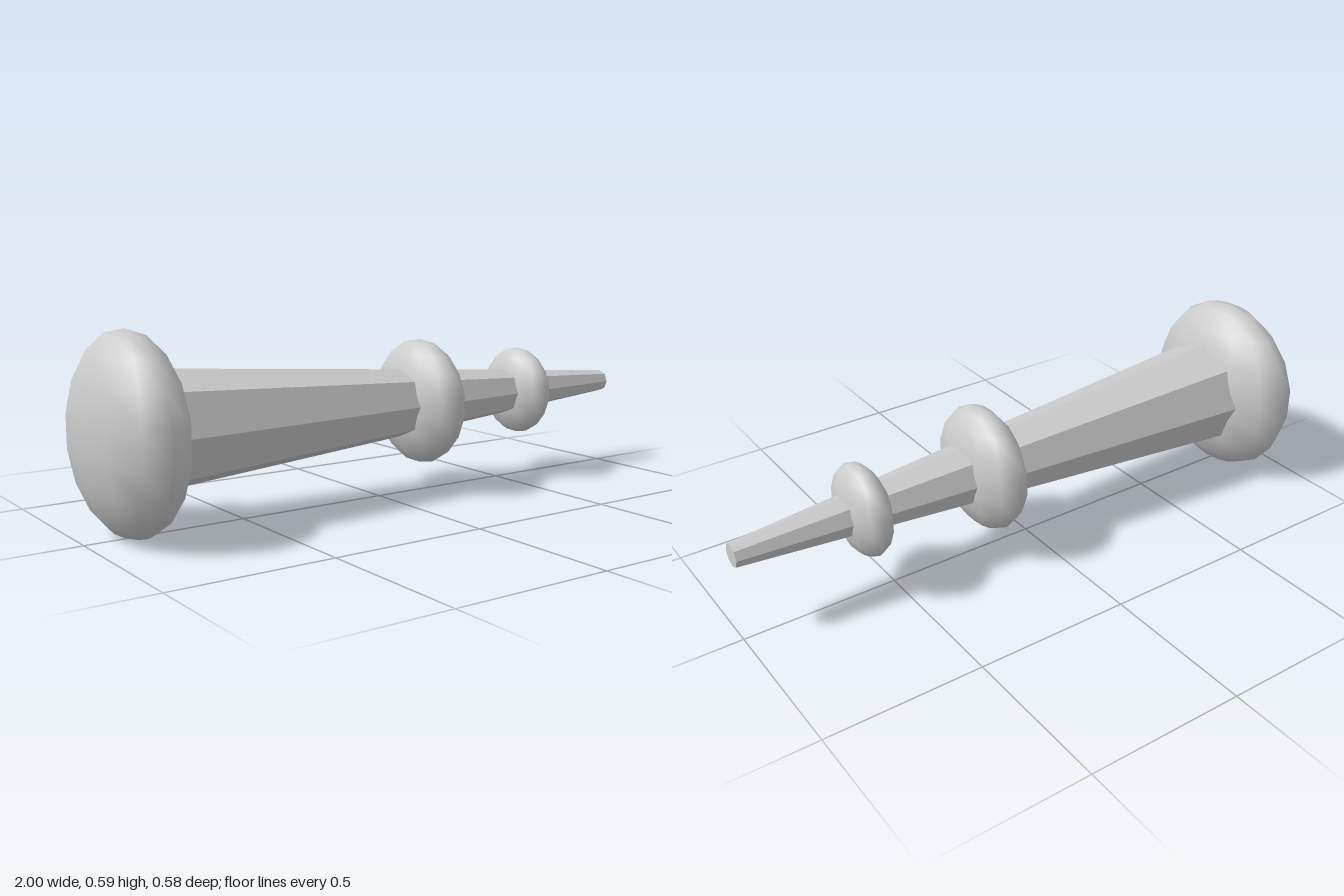
import * as THREE from 'three';

export function createModel() {
  const group = new THREE.Group();
  const axisY = 0.298;
  const smooth = new THREE.MeshStandardMaterial({ color: 0xcccccc });
  const faceted = new THREE.MeshStandardMaterial({ color: 0xcccccc, flatShading: true });

  const add = (name, geometry, material, x) => {
    const mesh = new THREE.Mesh(geometry, material);
    mesh.name = name;
    mesh.position.set(x, axisY, 0);
    group.add(mesh);
  };

  // Eight-sided shaft tapering to a blunt tip; its wide end sits inside the knob
  const start = -0.86, end = 1;
  const shaft = new THREE.CylinderGeometry(0.037, 0.185, end - start, 8);
  shaft.rotateZ(-Math.PI / 2);
  add('taperedShaft', shaft, faceted, (start + end) / 2);

  // Flattened spheres threaded on the shaft: name, centre x, radius
  const beads = [
    ['endKnob', -0.86, 0.2965],
    ['largeCollar', 0.163, 0.2035],
    ['smallCollar', 0.59, 0.1475],
  ];
  for (const [name, x, radius] of beads) {
    const bead = new THREE.SphereGeometry(radius, 12, 9);
    bead.scale(0.48, 1, 1);
    add(name, bead, smooth, x);
  }

  return group;
}
